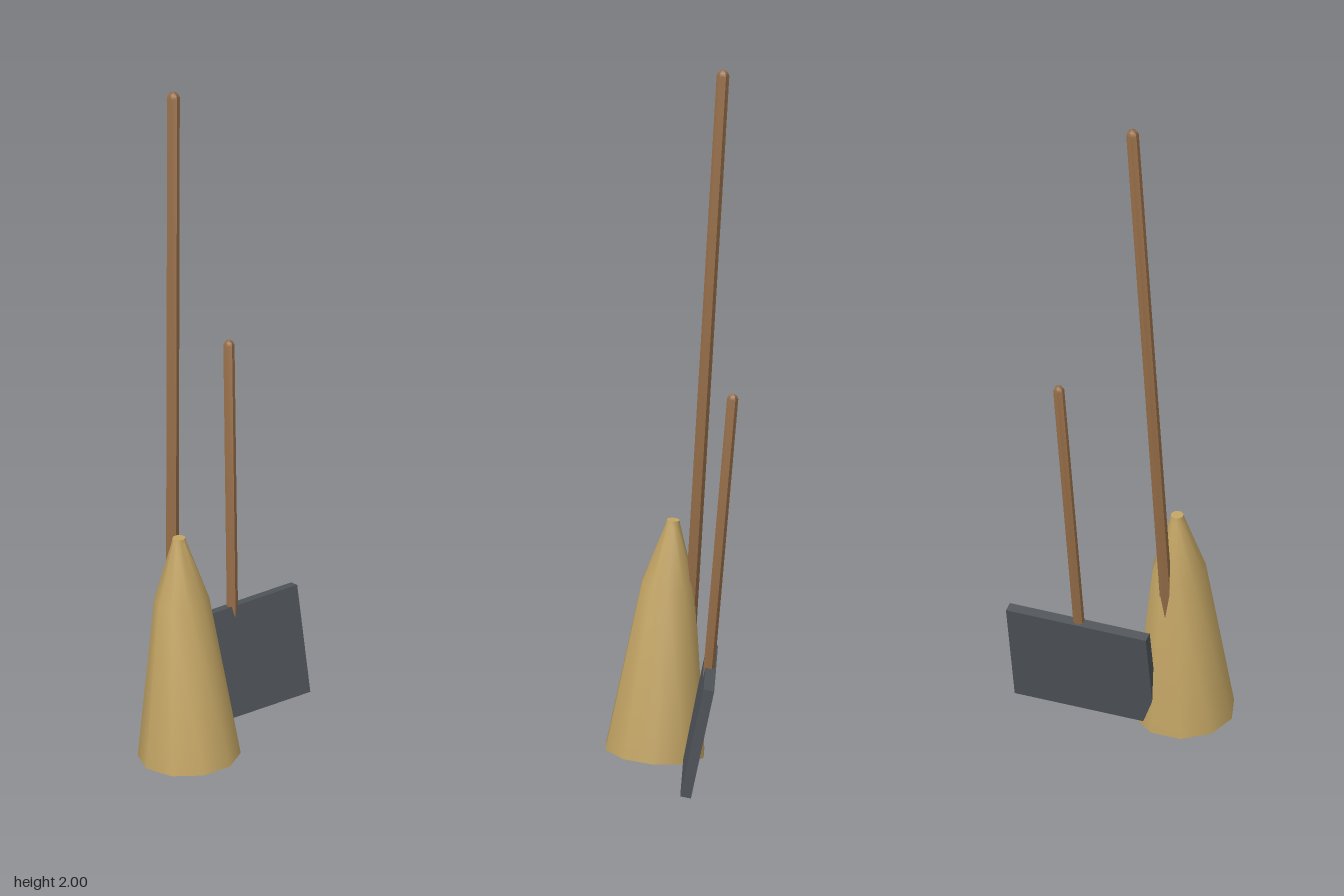
import * as THREE from 'three';
import { toCreasedNormals } from 'three/addons/utils/BufferGeometryUtils.js';

const material = (name, color) => {
  const m = new THREE.MeshStandardMaterial({ color });
  m.name = name;
  return m;
};

// Closed turned shape from [radius, height] pairs, smooth round the sides
function turned(profile, sides, phase = 0) {
  const points = profile.map(([r, y]) => new THREE.Vector2(r, y));
  return toCreasedNormals(new THREE.LatheGeometry(points, sides, phase), 0.75);
}

export function createModel() {
  const straw = material('straw', 0xc2a464);
  const wood = material('wood', 0x946c47);
  const iron = material('dark iron', 0x50555a);

  const group = new THREE.Group();
  const add = (name, geometry, mat) => {
    const mesh = new THREE.Mesh(geometry, mat);
    mesh.name = name;
    group.add(mesh);
    return mesh;
  };

  // Six-sided pole with a domed tip, running between two points
  function pole(name, from, to, r) {
    const a = new THREE.Vector3(...from);
    const dir = new THREE.Vector3(...to).sub(a);
    const len = dir.length();
    const mesh = add(name, turned([
      [0, 0], [r, 0], [r, len - r], [r * 0.75, len - r * 0.4], [0, len],
    ], 6), wood);
    mesh.position.copy(a);
    mesh.quaternion.setFromUnitVectors(new THREE.Vector3(0, 1, 0), dir.normalize());
  }

  // Broom: tapering bundle leaning back, and its long handle
  const bristles = add('bristles', turned([
    [0, 0], [0.142, 0], [0.076, 0.48], [0.021, 0.65], [0.018, 0.665], [0, 0.665],
  ], 10, Math.PI / 10), straw);
  bristles.position.set(-0.158, 0.011, 0.05);
  bristles.rotation.x = -0.076;
  pole('broomHandle', [-0.149, 0.35, -0.046], [-0.081, 2.0, -0.14], 0.0175);

  // Leaning flat pan with its shorter handle
  const pan = add('panBlade', new THREE.BoxGeometry(0.415, 0.316, 0.03), iron);
  pan.position.set(0.0925, 0.173, -0.0775);
  pan.rotation.x = -0.205;
  pole('panHandle', [0.09, 0.3, -0.103], [0.125, 1.13, -0.172], 0.0155);

  return group;
}
